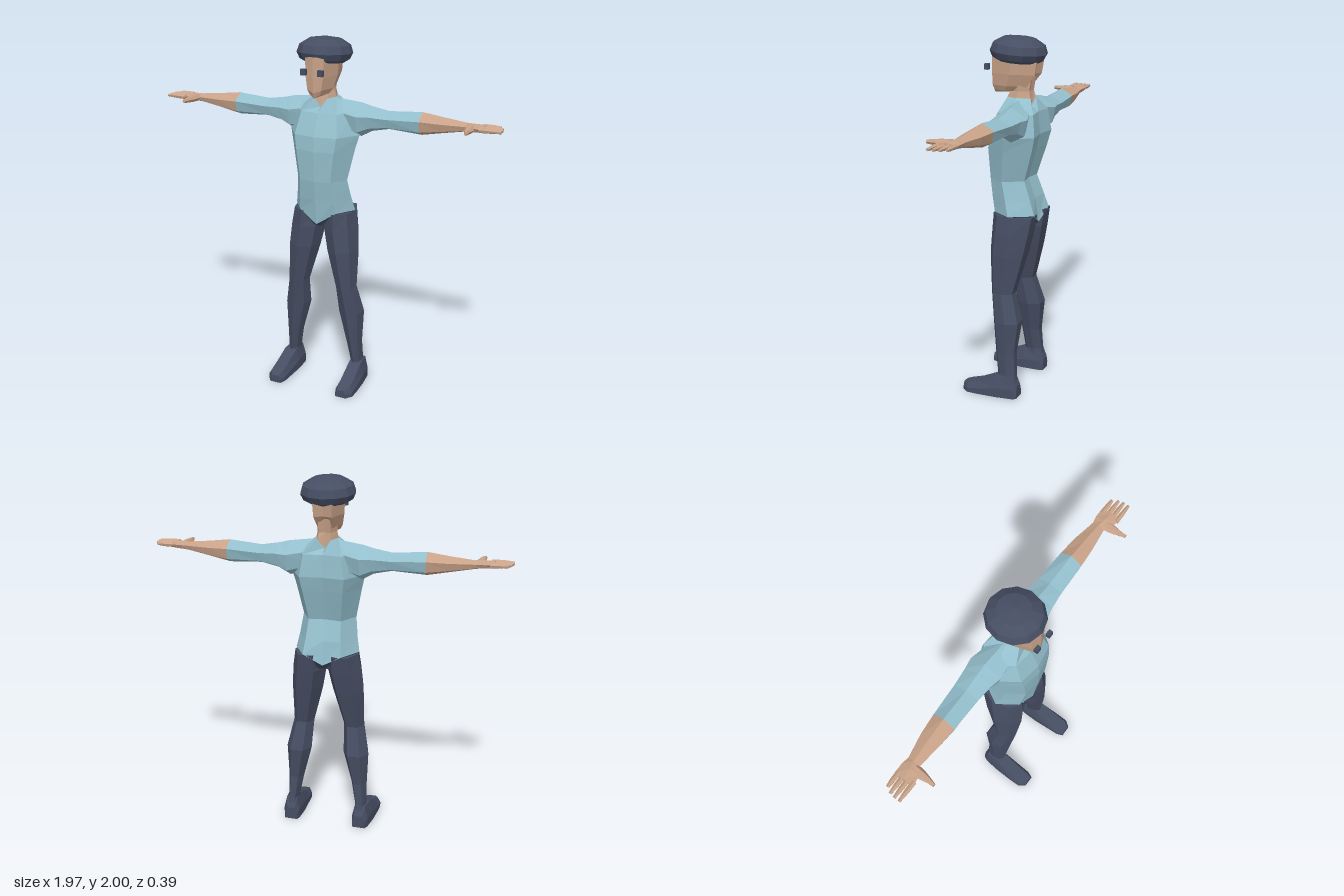
import * as THREE from 'three';

const mat = (name, color, o = {}) => {
  const m = new THREE.MeshStandardMaterial({ color, flatShading: true, ...o });
  m.name = name;
  return m;
};

// Skins a closed solid over a list of rings (counter-clockwise seen from the last ring)
function loft(rings) {
  const pos = [], idx = [], n = rings[0].length;
  rings.forEach(r => r.forEach(p => pos.push(...p)));
  for (let k = 0; k < rings.length - 1; k++) {
    for (let i = 0; i < n; i++) {
      const a = k * n + i, b = k * n + (i + 1) % n;
      idx.push(a, b, b + n, a, b + n, a + n);
    }
  }
  const last = (rings.length - 1) * n;
  for (let i = 1; i < n - 1; i++) {
    idx.push(0, i + 1, i, last, last + i, last + i + 1);
  }
  const g = new THREE.BufferGeometry();
  g.setAttribute('position', new THREE.Float32BufferAttribute(pos, 3));
  g.setIndex(idx);
  g.computeVertexNormals();
  return g;
}

const mirrored = rings => rings.map(r => r.map(([x, y, z]) => [-x, y, z]).reverse());

// Upright body ring: height, half width, front z, back z, drop of front and back centre
function bodyRing([y, w, f, b, dipF = 0, dipB = 0]) {
  const d = f - b, m = (f + b) / 2;
  const half = [[0.6 * w, y, f - 0.07 * d], [w, y, m], [0.6 * w, y, b]];
  const other = half.map(([x, yy, z]) => [-x, yy, z]).reverse();
  return [[0, y - dipF, f], ...half, [0, y - dipB, b + 0.06 * d], ...other];
}

// Leg ring: height, inner x, outer x, front z, back z
function legRing([y, x0, x1, f, b]) {
  const c = (x0 + x1) / 2, w = (x1 - x0) / 2, m = (f + b) / 2, h = (f - b) / 2;
  return [[0, 1], [0.75, 0.6], [1, -0.2], [0.5, -1], [-0.5, -1], [-1, -0.2], [-0.75, 0.6]]
    .map(([u, v]) => [c + u * w, y, m + v * h]);
}

// Arm ring: x, bottom y, top y, back z, front z
function armRing([x, y0, y1, b, f]) {
  const c = (y0 + y1) / 2, h = (y1 - y0) / 2, m = (b + f) / 2, w = (f - b) / 2;
  return [[1, 0], [0.35, 1], [-0.6, 0.8], [-1, 0], [-0.6, -0.8], [0.35, -1]]
    .map(([u, v]) => [x, c + u * h, m + v * w]);
}

// Shoe ring: z, centre x, half width, height
function shoeRing([z, c, w, h]) {
  return [[-w, 0], [w, 0], [w, h * 0.45], [w * 0.65, h], [-w * 0.65, h], [-w, h * 0.45]]
    .map(([x, y]) => [c + x, y, z]);
}

// Thumb ring: z, centre x, half width, half thickness
function thumbRing([z, c, w, h]) {
  return [[-w, 0], [-w * 0.5, -h], [w * 0.5, -h], [w, 0], [w * 0.5, h], [-w * 0.5, h]]
    .map(([x, y]) => [c + x, 1.587 + y, z]);
}

export function createModel() {
  const model = new THREE.Group();
  model.name = 'figure';
  const skin = mat('skin', 0xc8a288);
  const shirt = mat('shirt blue', 0x93becc);
  const navy = mat('dark navy', 0x464e63);

  const add = (name, geometry, material) => {
    const m = new THREE.Mesh(geometry, material);
    m.name = name;
    model.add(m);
    return m;
  };
  const pair = (name, rings, material) => {
    add('left' + name, loft(rings), material);
    add('right' + name, loft(mirrored(rings)), material);
  };

  // Shirt body, sharing its hem with the trousers and its collar with the neck
  const hem = [1.045, 0.18, 0.075, -0.175, 0.07, 0.06];
  const collar = [1.675, 0.062, 0.022, -0.122, 0.045, 0.045];
  add('shirt', loft([
    hem,
    [1.12, 0.165, 0.09, -0.15],
    [1.23, 0.15, 0.105, -0.11],
    [1.4, 0.185, 0.113, -0.16],
    [1.48, 0.205, 0.105, -0.18],
    [1.6, 0.175, 0.055, -0.165],
    collar,
  ].map(bodyRing)), shirt);

  // Trousers
  add('trouserSeat', loft([[0.95, 0.07, 0.03, -0.12], hem].map(bodyRing)), navy);
  pair('Leg', [
    [0.08, 0.165, 0.235, 0.0, -0.115],
    [0.13, 0.167, 0.232, 0.0, -0.108],
    [0.26, 0.142, 0.232, 0.018, -0.1],
    [0.44, 0.095, 0.24, 0.04, -0.12],
    [0.6, 0.088, 0.206, 0.06, -0.075],
    [0.82, 0.028, 0.206, 0.08, -0.13],
    [0.94, 0.004, 0.196, 0.077, -0.155],
    [1.04, 0.012, 0.179, 0.07, -0.172],
  ].map(legRing), navy);

  // Shoes
  pair('Shoe', [
    [-0.126, 0.202, 0.036, 0.07],
    [-0.1, 0.204, 0.046, 0.125],
    [-0.005, 0.208, 0.054, 0.122],
    [0.1, 0.213, 0.054, 0.075],
    [0.165, 0.214, 0.052, 0.056],
    [0.2, 0.208, 0.032, 0.044],
  ].map(shoeRing), navy);

  // Sleeves and forearms
  const cuff = [0.545, 1.512, 1.635, -0.142, -0.012];
  const wrist = [0.79, 1.56, 1.606, -0.108, -0.036];
  pair('Sleeve', [
    [0.06, 1.5, 1.668, -0.13, 0.0],
    [0.2, 1.465, 1.652, -0.172, 0.015],
    [0.26, 1.5, 1.637, -0.162, 0.002],
    [0.36, 1.522, 1.62, -0.153, -0.008],
    cuff,
  ].map(armRing), shirt);
  pair('Forearm', [cuff, [0.66, 1.535, 1.62, -0.132, -0.02], wrist].map(armRing), skin);

  // Hands
  pair('Palm', [
    wrist,
    [0.83, 1.564, 1.608, -0.115, -0.012],
    [0.89, 1.572, 1.604, -0.115, 0.002],
  ].map(armRing), skin);
  [[-0.1, 0.962], [-0.07, 0.98], [-0.041, 0.986], [-0.011, 0.986]].forEach(([z, tip], i) => {
    pair('Finger' + (i + 1), [
      [0.87, 1.576, 1.602, z - 0.014, z + 0.014],
      [0.93, 1.578, 1.602, z - 0.013, z + 0.013],
      [tip, 1.582, 1.598, z - 0.008, z + 0.008],
    ].map(armRing), skin);
  });
  pair('Thumb', [
    [-0.05, 0.818, 0.03, 0.018],
    [0.005, 0.82, 0.024, 0.016],
    [0.045, 0.822, 0.014, 0.013],
    [0.077, 0.827, 0.009, 0.009],
  ].map(thumbRing), skin);

  // Neck and head
  add('neck', loft([
    collar,
    [1.71, 0.054, 0.005, -0.112],
    [1.79, 0.056, 0.005, -0.125],
  ].map(bodyRing)), skin);
  add('head', loft([
    [1.708, 0.052, 0.1, -0.06, 0.018, -0.05],
    [1.735, 0.068, 0.112, -0.1, 0.015, -0.03],
    [1.8, 0.083, 0.115, -0.15],
    [1.91, 0.09, 0.115, -0.168],
  ].map(bodyRing)), skin);

  // Square eyes standing just off the face
  for (const s of [1, -1]) {
    const eye = add(s > 0 ? 'leftEye' : 'rightEye', new THREE.BoxGeometry(0.03, 0.032, 0.022), navy);
    eye.position.set(s * 0.049, 1.832, 0.126);
  }

  // Rounded cap, tipped slightly backward
  const profile = [[0, -0.045], [0.108, -0.045], [0.134, -0.03], [0.15, 0.004], [0.136, 0.046], [0.085, 0.078], [0, 0.09]]
    .map(([r, y]) => new THREE.Vector2(r, y));
  const cap = add('cap', new THREE.LatheGeometry(profile, 12), navy);
  cap.position.set(0, 1.91, -0.037);
  cap.scale.z = 1.05;
  cap.rotation.x = -0.08;

  return model;
}
